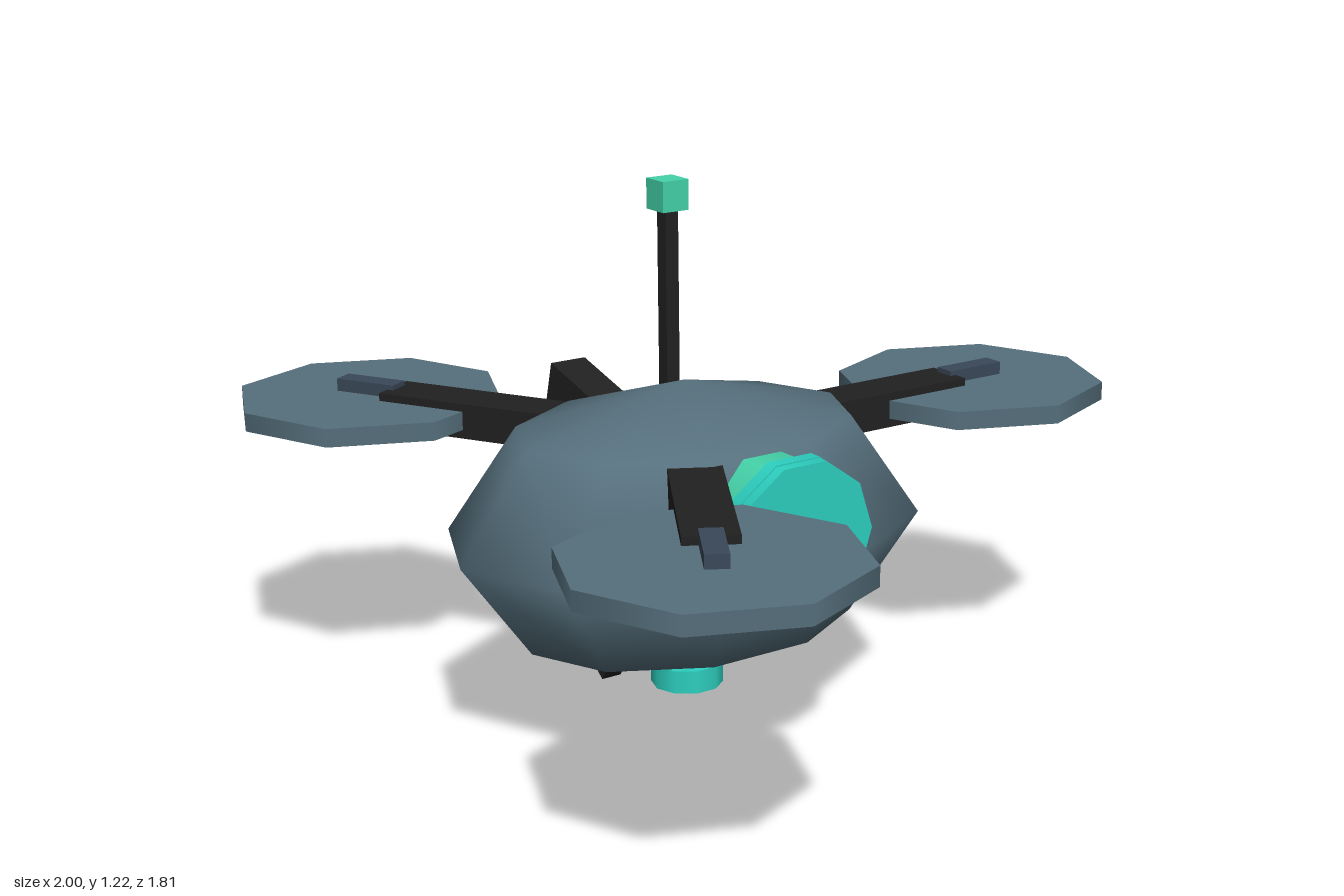
import * as THREE from 'three';

const mat = (name, color) => {
  const m = new THREE.MeshStandardMaterial({ color });
  m.name = name;
  return m;
};

export function createModel() {
  const slate = mat('slate', 0x56707d);
  const darkSlate = mat('darkSlate', 0x3a4858);
  const black = mat('black', 0x212121);
  const teal = mat('teal', 0x2dd0c0);
  const mint = mat('mint', 0x45d3aa);

  const model = new THREE.Group();
  model.name = 'drone';
  const add = (name, geometry, material, x, y, z, parent = model) => {
    const mesh = new THREE.Mesh(geometry, material);
    mesh.name = name;
    mesh.position.set(x, y, z);
    parent.add(mesh);
    return mesh;
  };
  const box = (w, h, d) => new THREE.BoxGeometry(w, h, d);
  const disc = (r, h, sides) => new THREE.CylinderGeometry(r, r, h, sides);
  const cz = 0.2; // the body's centre line

  // Faceted egg-shaped body, a vertex pointing to front and back
  const shell = new THREE.SphereGeometry(1, 10, 4);
  shell.rotateY(Math.PI / 2).scale(0.42, 0.316, 0.555);
  add('body', shell, slate, 0, 0.475, cz);

  // Three arms around the body, each with a rotor disc and a blade mount
  for (let i = 0; i < 3; i++) {
    const angle = (i * Math.PI * 2) / 3;
    const arm = new THREE.Group();
    arm.name = 'rotorArm' + (i + 1);
    arm.position.z = cz;
    arm.rotation.y = angle;
    add('arm', box(0.114, 0.08, 0.5), black, 0, 0.65, -0.488, arm);
    add('bladeMount', box(0.048, 0.04, 0.15), darkSlate, 0, 0.681, -0.797, arm);
    // rotors keep their corners on the world axes
    const rotor = add('rotor', disc(0.307, 0.042, 8), slate, 0, 0.651, -0.8, arm);
    rotor.rotation.y = -angle;
    model.add(arm);
  }

  // Antenna on top
  add('antenna', box(0.032, 0.45, 0.032), black, -0.058, 0.93, cz);
  add('antennaTip', box(0.064, 0.066, 0.064), mint, -0.058, 1.184, cz);

  // Side lens: barrel and two stacked rims
  const lens = new THREE.Group();
  lens.name = 'lens';
  lens.position.set(0, 0.545, cz);
  lens.rotation.z = -Math.PI / 2;
  add('lensBarrel', disc(0.155, 0.16, 10), mint, 0, 0.305, 0, lens);
  add('lensRim', disc(0.175, 0.03, 10), teal, 0, 0.395, 0, lens);
  add('lensFace', disc(0.172, 0.025, 10), teal, 0, 0.4225, 0, lens);
  model.add(lens);

  // Tilted block on the opposite side
  const block = add('sideBlock', box(0.24, 0.218, 0.09), black, -0.394, 0.594, cz);
  block.rotation.z = -Math.PI / 12;

  // Sensor under the body and the slanted leg
  add('bottomSensor', disc(0.08, 0.052, 10), teal, 0, 0.125, cz);
  const leg = add('leg', box(0.054, 0.36, 0.05), black, -0.234, 0.163, cz);
  leg.rotation.z = -0.63;

  return model;
}
